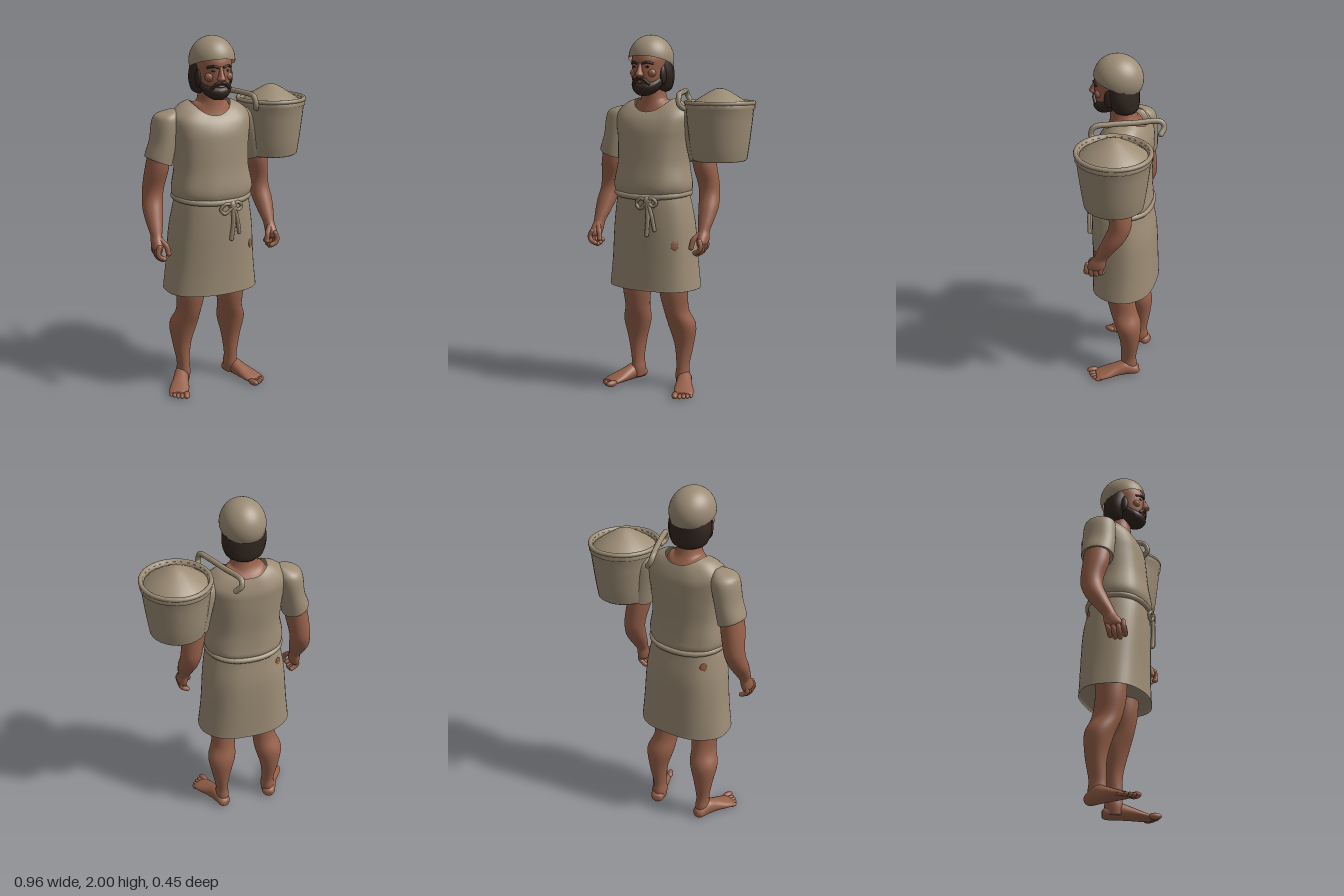
import * as THREE from 'three';

const CX = -0.095; // body centre line

const mat = (name, color, side = THREE.FrontSide) => {
  const m = new THREE.MeshStandardMaterial({ color, side });
  m.name = name;
  return m;
};

// Smooth loft through horizontal elliptical rings.
// Ring: [x, y, z, rx, rz, tiltX, tiltZ, saddle]; folds = [amount, count].
function loft(rings, { seg = 32, steps = 4, p = 1, folds = [0, 0], openTop = false } = {}) {
  let rows = rings.map(r => Array.from({ length: 8 }, (_, i) => r[i] ?? 0));
  if (rows[0][1] > rows[rows.length - 1][1]) rows = rows.reverse();
  const at = i => rows[Math.max(0, Math.min(rows.length - 1, i))];
  const cr = (a, b, c, d, t) => b + 0.5 * t * (c - a + t * (2 * a - 5 * b + 4 * c - d + t * (3 * (b - c) + d - a)));
  const pos = [], idx = [], n = (rows.length - 1) * steps;
  const pw = v => Math.sign(v) * Math.abs(v) ** p;
  for (let i = 0; i <= n; i++) {
    const k = Math.min(Math.floor(i / steps), rows.length - 2), t = i / steps - k;
    const [x, y, z, rx, rz, tx, tz, sd] = at(k).map((v, c) => cr(at(k - 1)[c], v, at(k + 1)[c], at(k + 2)[c], t));
    for (let j = 0; j < seg; j++) {
      const a = j / seg * Math.PI * 2, c = Math.cos(a), s = Math.sin(a);
      const f = 1 + folds[0] * Math.sin(folds[1] * a + 4 * y);
      pos.push(x + rx * pw(c) * f, y + tx * c + tz * s + sd * c * c, z + rz * pw(s) * f);
    }
  }
  for (let i = 0; i < n; i++) for (let j = 0; j < seg; j++) {
    const a = i * seg + j, b = i * seg + (j + 1) % seg;
    idx.push(a, a + seg, b, b, a + seg, b + seg);
  }
  const end = (row, top) => {
    const c = pos.length / 3, r = top ? rows[rows.length - 1] : rows[0];
    pos.push(r[0], r[1], r[2]);
    for (let j = 0; j < seg; j++) {
      const a = row * seg + j, b = row * seg + (j + 1) % seg;
      top ? idx.push(c, b, a) : idx.push(c, a, b);
    }
  };
  end(0, false);
  if (!openTop) end(n, true);
  const g = new THREE.BufferGeometry();
  g.setAttribute('position', new THREE.Float32BufferAttribute(pos, 3));
  g.setIndex(idx);
  g.computeVertexNormals();
  return g;
}

export function createModel() {
  const model = new THREE.Group();
  const cloth = mat('cloth', 0x9c8c75, THREE.DoubleSide);
  const skin = mat('skin', 0x966049);
  const hair = mat('hair', 0x32261f);
  const lip = mat('lips', 0x7d4a3b);

  const add = (name, geo, m, parent = model) => {
    const mesh = new THREE.Mesh(geo, m);
    mesh.name = name;
    parent.add(mesh);
    return mesh;
  };
  const ball = (name, m, [x, y, z], [sx, sy, sz], parent = model) => {
    const b = add(name, new THREE.SphereGeometry(1, 20, 14), m, parent);
    b.position.set(x, y, z);
    b.scale.set(sx, sy, sz);
    return b;
  };
  // round-ended tube through points
  const cord = (name, m, pts, r, parent = model) => {
    const v = pts.map(q => new THREE.Vector3(...q));
    add(name, new THREE.TubeGeometry(new THREE.CatmullRomCurve3(v), pts.length * 6, r, 10), m, parent);
    for (const q of [pts[0], pts[pts.length - 1]]) ball(name + 'End', m, q, [r, r, r], parent);
  };

  // tunic top and skirt
  add('tunicTop', loft([
    [CX, 1.12, .035, .20, .16], [CX, 1.155, .037, .22, .172], [CX, 1.2, .04, .224, .17],
    [CX, 1.3, .035, .206, .16], [CX, 1.42, .027, .21, .157], [CX, 1.49, .022, .22, .153, 0, 0, .01],
    [CX, 1.54, .013, .22, .143, 0, 0, .04], [CX, 1.58, .01, .165, .126, 0, -.01, .055],
    [CX, 1.605, .01, .112, .112, 0, -.02, .05],
  ], { seg: 48, p: .88, folds: [.008, 9], openTop: true }), cloth);
  add('skirt', loft([
    [CX, .64, .015, .2, .13], [CX, .615, .015, .255, .175], [CX, .6, .015, .266, .184],
    [CX, .62, .015, .265, .183], [CX, .75, .016, .25, .18], [CX, .95, .022, .234, .177],
    [CX, 1.08, .033, .214, .166], [CX, 1.14, .035, .2, .16],
  ], { seg: 48, p: .85, folds: [.009, 7] }), cloth);
  for (const [x, y, z, turn] of [[.095, .86, .147, .68], [-.26, 1.05, -.095, Math.PI + .65]])
    ball('skirtPatch', skin, [x, y, z], [.02, .027, .0048]).rotation.y = turn;

  // rope belt, knot, loops and tails
  const ring = Array.from({ length: 32 }, (_, i) => {
    const a = i / 16 * Math.PI, c = Math.cos(a), s = Math.sin(a), w = v => Math.sign(v) * Math.abs(v) ** .88;
    return new THREE.Vector3(CX + .208 * w(c), 1.125 + .012 * c * c, .035 + .167 * w(s));
  });
  add('belt', new THREE.TubeGeometry(new THREE.CatmullRomCurve3(ring, true), 96, .016, 10, true), cloth);
  ball('beltKnot', cloth, [-.04, 1.11, .205], [.024, .024, .02]);
  cord('beltLoop', cloth, [[-.04, 1.11, .21], [-.08, 1.12, .215], [-.108, 1.09, .208], [-.085, 1.065, .21], [-.04, 1.1, .215]], .009);
  cord('beltLoop', cloth, [[-.04, 1.11, .21], [-.01, 1.125, .212], [.015, 1.1, .205], [-.005, 1.08, .208], [-.035, 1.1, .212]], .009);
  cord('beltTail', cloth, [[-.04, 1.1, .21], [-.035, 1.02, .212], [-.045, .92, .208]], .012);
  cord('beltTail', cloth, [[-.035, 1.1, .21], [-.012, 1.03, .21], [.002, .95, .205]], .011);

  // neck and upper chest
  add('neck', loft([
    [CX, 1.55, .01, .14, .112, 0, 0, .03], [CX, 1.6, .012, .1, .096, 0, 0, .045],
    [CX, 1.66, .027, .072, .074], [CX, 1.76, .04, .064, .064],
  ]), skin);

  // limbs, mirrored about the body centre; u is the distance outward
  for (const s of [-1, 1]) {
    const side = s > 0 ? 'left' : 'right', X = u => CX + s * u;
    const limb = (name, rings, m) => add(side + name, loft(rings.map(([u, y, z, a, b, t = 0]) => [X(u), y, z, a, b, s * t])), m);
    limb('Sleeve', [
      [.2, 1.612, -.005, .02, .03], [.23, 1.59, -.007, .062, .07], [.24, 1.55, -.01, .076, .09],
      [.258, 1.45, -.01, .072, .093], [.284, 1.35, -.01, .073, .09, .025], [.285, 1.338, -.01, .067, .084, .025],
      [.283, 1.355, -.01, .045, .055, .02],
    ], cloth);
    limb('Arm', [
      [.275, 1.42, -.01, .055, .068], [.293, 1.3, -.015, .064, .073], [.31, 1.2, -.03, .06, .062],
      [.318, 1.14, -.027, .057, .06], [.327, 1.07, .003, .055, .058], [.332, 1, .045, .043, .046],
      [.335, .95, .075, .031, .038], [.338, .92, .09, .031, .046], [.34, .89, .103, .029, .052], [.338, .87, .108, .02, .043],
    ], skin);
    for (let i = 0; i < 4; i++) {
      const z = .068 + i * .027, drop = [.012, 0, -.004, .006][i];
      cord(side + 'Finger', skin, [[X(.342), .9, z], [X(.352), .87, z + .005],
        [X(.343), .842 + drop, z + .007], [X(.318), .828 + drop, z + .005]], .0135);
    }
    cord(side + 'Thumb', skin, [[X(.325), .93, .108], [X(.3), .9, .138], [X(.292), .86, .148]], .0145);

    limb('Leg', [
      [.118, .7, .02, .085, .088], [.12, .57, .02, .081, .083], [.127, .46, 0, .069, .08],
      [.146, .37, -.033, .081, .078], [.153, .25, -.046, .055, .058], [.149, .13, -.039, .036, .046],
      [.147, .07, -.04, .04, .05], [.147, .02, -.04, .034, .045],
    ], skin);
    const foot = new THREE.Group();
    foot.name = side + 'Foot';
    foot.position.set(X(.135), 0, -.1);
    foot.rotation.y = s * .4;
    model.add(foot);
    add(side + 'Sole', loft([
      [0, 0, -.03, .02, .018], [0, .02, -.034, .038, .033], [0, .08, -.048, .041, .048], [0, .14, -.039, .046, .039],
      [s * .004, .2, -.027, .055, .027], [s * .006, .245, -.019, .054, .018], [s * .006, .265, -.016, .044, .012],
    ]), skin, foot).rotation.x = Math.PI / 2;
    [[-.04, .277, .018], [-.014, .28, .013], [.008, .275, .0125], [.029, .266, .012], [.048, .253, .0115]].forEach(([x, z, r]) =>
      ball(side + 'Toe', skin, [s * x, r, z], [r, r, r * 2], foot));
  }

  // head and face
  add('head', loft([
    [CX, 1.685, .125, .03, .035], [CX, 1.71, .102, .058, .066], [CX, 1.76, .083, .082, .098],
    [CX, 1.82, .072, .092, .113], [CX, 1.88, .062, .097, .12], [CX, 1.94, .06, .075, .09],
  ]), skin);
  add('nose', loft([
    [CX, 1.772, .185, .012, .012], [CX, 1.784, .19, .024, .026], [CX, 1.8, .187, .017, .024],
    [CX, 1.83, .18, .011, .016], [CX, 1.85, .178, .01, .01],
  ], { seg: 16 }), skin);
  for (const s of [-1, 1]) {
    const x = u => CX + s * u;
    ball('eye', hair, [x(.036), 1.828, .172], [.014, .006, .007]);
    ball('cheek', skin, [x(.05), 1.795, .15], [.028, .024, .022]);
    cord('eyebrow', hair, [[x(.017), 1.846, .186], [x(.04), 1.852, .178], [x(.065), 1.845, .156]], .0065);
    cord('moustache', hair, [[x(.003), 1.768, .188], [x(.026), 1.76, .184], [x(.046), 1.738, .172]], .009);
    ball('sideburn', hair, [x(.088), 1.785, .085], [.016, .05, .026]);
  }
  ball('mouth', lip, [CX, 1.747, .187], [.022, .007, .009]);

  // beard and hair
  add('beard', loft([
    [CX, 1.673, .14, .025, .025], [CX, 1.695, .126, .06, .06], [CX, 1.73, .107, .083, .081],
    [CX, 1.765, .08, .093, .06], [CX, 1.79, .07, .085, .03],
  ], { folds: [.02, 12] }), hair);
  add('hair', loft([
    [CX, 1.69, .01, .06, .05], [CX, 1.71, .017, .097, .07], [CX, 1.77, .028, .118, .083],
    [CX, 1.83, .035, .115, .088], [CX, 1.9, .04, .1, .09],
  ], { folds: [.025, 15] }), hair);

  // round cap, tilted back
  const cap = add('cap', new THREE.SphereGeometry(1, 40, 24, 0, Math.PI * 2, 0, Math.PI * .56), cloth);
  cap.scale.set(.122, .127, .134);
  cap.position.set(CX, 1.872, .056);
  cap.rotation.x = -.3;

  // basket with a heap inside
  const basket = new THREE.Group();
  basket.name = 'basket';
  basket.position.set(.287, 1.325, -.015);
  basket.scale.z = 1.05;
  model.add(basket);
  const profile = [[0, 0], [.14, 0], [.15, .008], [.163, .1], [.177, .22], [.182, .275], [.189, .28], [.191, .315], [.172, .318], [.166, .298]];
  add('basketBody', new THREE.LatheGeometry(profile.map(q => new THREE.Vector2(...q)), 28), cloth, basket);
  const rim = add('basketRim', new THREE.TorusGeometry(.182, .012, 10, 40), cloth, basket);
  rim.rotation.x = Math.PI / 2;
  rim.position.y = .312;
  const heap = [[.172, .29], [.14, .318], [.1, .345], [.05, .375], [.02, .388], [0, .39]];
  add('basketHeap', new THREE.LatheGeometry(heap.map(q => new THREE.Vector2(...q)), 20), cloth, basket);

  // handle resting on the shoulder
  cord('basketHandle', cloth, [[.02, 1.63, -.2], [-.005, 1.66, -.212], [-.008, 1.688, -.195], [.045, 1.69, -.06],
    [.085, 1.688, .05], [.115, 1.675, .135], [.122, 1.63, .148], [.135, 1.608, .12]], .015);
  return model;
}
